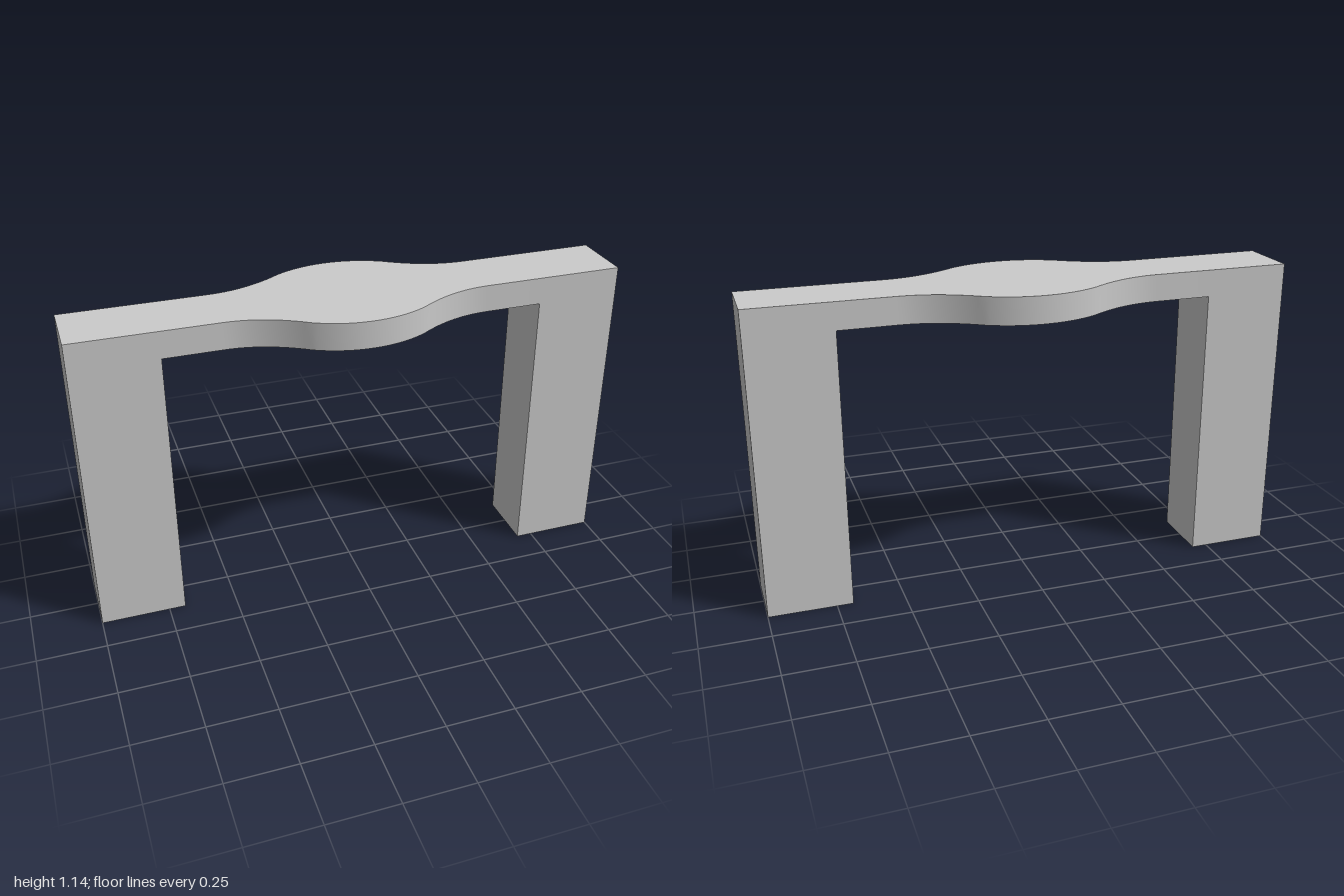
import * as THREE from 'three';
import { toCreasedNormals } from 'three/addons/utils/BufferGeometryUtils.js';

const HEIGHT = 1.14, DECK = 0.1, HALF_WIDTH = 0.12, INNER = 0.69, BULGE = 0.267;

export function createModel() {
  const group = new THREE.Group();
  const material = new THREE.MeshStandardMaterial({ color: 0xcccccc });

  // Deck: straight strip that swells into a rounded middle on both edges
  const outline = new THREE.Shape();
  outline.moveTo(-INNER, -HALF_WIDTH);
  for (const s of [1, -1]) {
    outline.lineTo(-0.48 * s, -HALF_WIDTH * s);
    outline.quadraticCurveTo(-0.34 * s, -HALF_WIDTH * s, -0.2 * s, -0.216 * s);
    outline.quadraticCurveTo(-0.105 * s, -BULGE * s, 0, -BULGE * s);
    outline.quadraticCurveTo(0.105 * s, -BULGE * s, 0.2 * s, -0.216 * s);
    outline.quadraticCurveTo(0.34 * s, -HALF_WIDTH * s, 0.48 * s, -HALF_WIDTH * s);
    outline.lineTo(INNER * s, -HALF_WIDTH * s);
    if (s === 1) outline.lineTo(INNER, HALF_WIDTH);
  }
  const deckGeometry = new THREE.ExtrudeGeometry(outline, { depth: DECK, bevelEnabled: false, curveSegments: 12 });
  deckGeometry.rotateX(-Math.PI / 2);
  const deck = new THREE.Mesh(toCreasedNormals(deckGeometry, 0.5), material);
  deck.name = 'deck';
  deck.position.y = HEIGHT - DECK;
  group.add(deck);

  // Two full-height block legs
  for (const [name, side] of [['leftLeg', 1], ['rightLeg', -1]]) {
    const leg = new THREE.Mesh(new THREE.BoxGeometry(1 - INNER, HEIGHT, HALF_WIDTH * 2), material);
    leg.name = name;
    leg.position.set(side * (1 + INNER) / 2, HEIGHT / 2, 0);
    group.add(leg);
  }
  return group;
}
